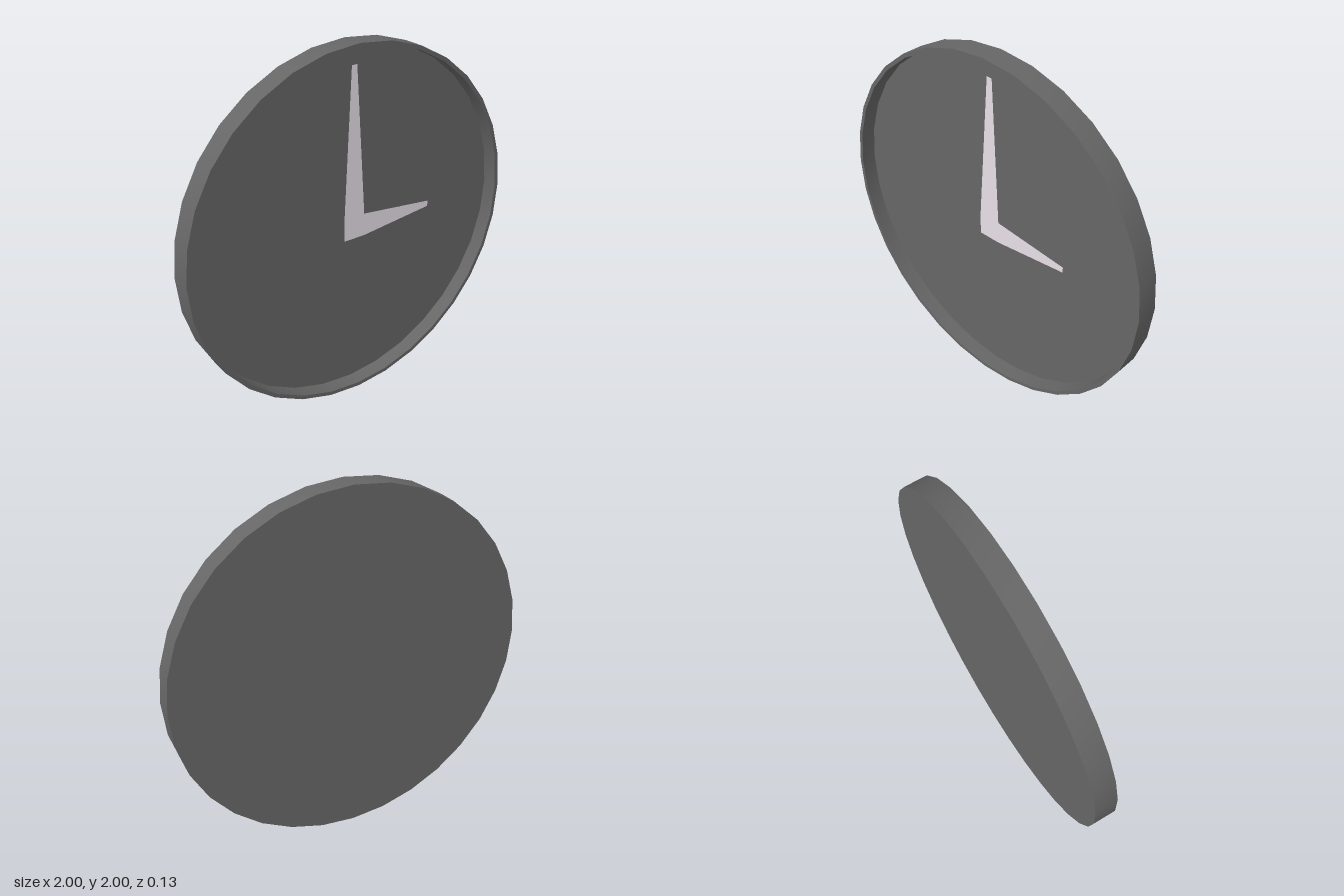
import * as THREE from 'three';
import { toCreasedNormals } from 'three/addons/utils/BufferGeometryUtils.js';

export function createModel() {
  const group = new THREE.Group();
  const v = (x, y) => new THREE.Vector2(x, y);
  const half = 0.063;   // half of the case depth
  const faceZ = -0.024; // recessed dial
  const handZ = 0.018;  // hands float above the dial

  // Case: closed back, outer wall, thin rim, inner wall and dial in one turned profile
  const profile = [
    v(0, -half), v(1, -half), v(1, half), v(0.978, half), v(0.978, faceZ), v(0, faceZ),
  ];
  const caseGeometry = toCreasedNormals(new THREE.LatheGeometry(profile, 32), Math.PI / 6);
  caseGeometry.rotateX(Math.PI / 2);
  const clockCase = new THREE.Mesh(caseGeometry, new THREE.MeshStandardMaterial({ color: 0x666666 }));
  clockCase.name = 'clockCase';
  clockCase.position.y = 1;
  group.add(clockCase);

  // Hands: one flat L-shaped sheet, long hand up and short hand to the side
  const w = 0.064, t = 0.016;
  const outline = new THREE.Shape([
    v(-w, -w), v(w, -w), v(0.503, -t), v(0.503, t),
    v(w, w), v(t, 0.884), v(-t, 0.884), v(-w, w),
  ]);
  const hands = new THREE.Mesh(
    new THREE.ShapeGeometry(outline),
    new THREE.MeshStandardMaterial({ color: 0xe6dfe6, side: THREE.DoubleSide })
  );
  hands.name = 'clockHands';
  hands.position.set(0, 1, handZ);
  group.add(hands);

  return group;
}
